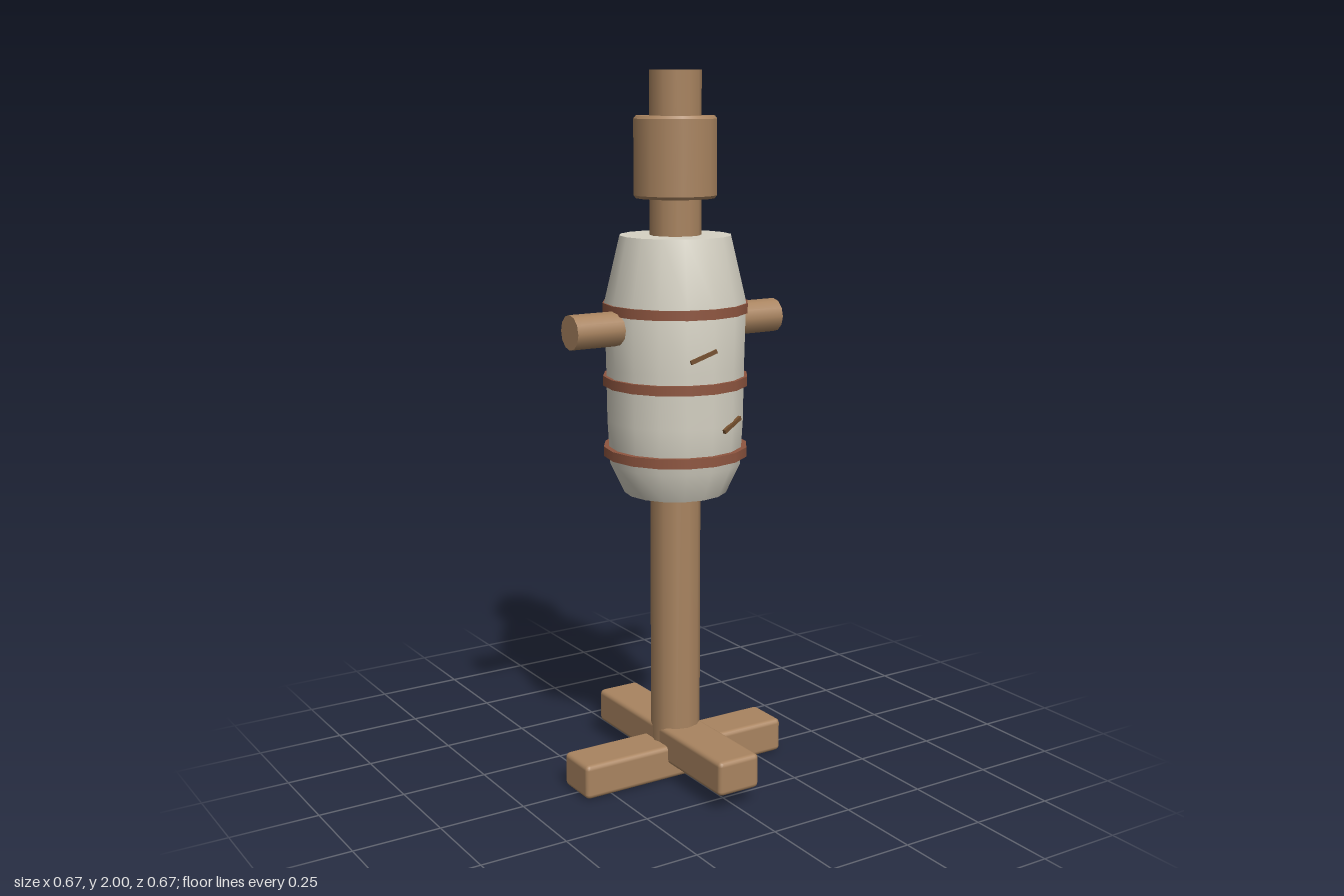
import * as THREE from 'three';
import { RoundedBoxGeometry } from 'three/addons/geometries/RoundedBoxGeometry.js';

export function createModel() {
  const model = new THREE.Group();
  model.name = 'trainingDummy';

  const material = (name, color) => {
    const m = new THREE.MeshStandardMaterial({ color });
    m.name = name;
    return m;
  };
  const wood = material('wood', 0xa98460);
  const cloth = material('cloth', 0xd6d2c4);
  const leather = material('leather', 0x8f5640);
  const cutMark = material('cutMark', 0x75502f);

  const add = (name, geometry, mat, x = 0, y = 0, z = 0, parent = model) => {
    const mesh = new THREE.Mesh(geometry, mat);
    mesh.name = name;
    mesh.position.set(x, y, z);
    parent.add(mesh);
    return mesh;
  };
  const profile = (points) => points.map(([r, y]) => new THREE.Vector2(r, y));

  // Crossed feet, the front-to-back beam resting in the lower one
  const beam = new RoundedBoxGeometry(0.666, 0.1, 0.132, 2, 0.014);
  add('sideBeam', beam, wood, 0, 0.05, 0);
  add('frontBeam', beam, wood, 0, 0.097, 0).rotation.y = Math.PI / 2;

  // Central post
  add('post', new THREE.CylinderGeometry(0.071, 0.071, 1.9, 12), wood, 0, 1.05, 0);

  // Wooden head with narrow bevelled rims
  const head = new THREE.Group();
  head.name = 'head';
  model.add(head);
  add('headSide', new THREE.CylinderGeometry(0.115, 0.115, 0.204, 16, 1, true), wood, 0, 1.77, 0, head);
  add('headTop', new THREE.CylinderGeometry(0.109, 0.115, 0.008, 16), wood, 0, 1.876, 0, head);
  add('headBottom', new THREE.CylinderGeometry(0.115, 0.109, 0.008, 16), wood, 0, 1.664, 0, head);

  // Padded body, closed by flat ends
  const body = new THREE.Group();
  body.name = 'body';
  model.add(body);
  add('padding', new THREE.LatheGeometry(profile([
    [0.145, 0.84], [0.185, 0.925], [0.192, 1.05], [0.194, 1.2], [0.198, 1.38], [0.155, 1.56],
  ]), 16), cloth, 0, 0, 0, body);
  add('paddingTop', new THREE.CircleGeometry(0.155, 16), cloth, 0, 1.56, 0, body).rotation.x = -Math.PI / 2;
  add('paddingBottom', new THREE.CircleGeometry(0.145, 16), cloth, 0, 0.84, 0, body).rotation.x = Math.PI / 2;

  // Straps
  for (const y of [0.96, 1.16, 1.363]) {
    add('strap', new THREE.CylinderGeometry(0.203, 0.203, 0.027, 16), leather, 0, y, 0);
  }

  // Arm peg running through the body
  add('arms', new THREE.CylinderGeometry(0.048, 0.048, 0.666, 12), wood, 0, 1.315, 0).rotation.z = Math.PI / 2;

  // Slanted cuts lying on the front of the padding
  for (const [angle, y] of [[-0.16, 1.25], [0.37, 1.052]]) {
    const pivot = new THREE.Group();
    pivot.name = 'cut';
    pivot.rotation.y = angle;
    add('cutMark', new THREE.BoxGeometry(0.08, 0.011, 0.009), cutMark, 0, y, 0.193, pivot).rotation.z = 0.35;
    model.add(pivot);
  }

  return model;
}
